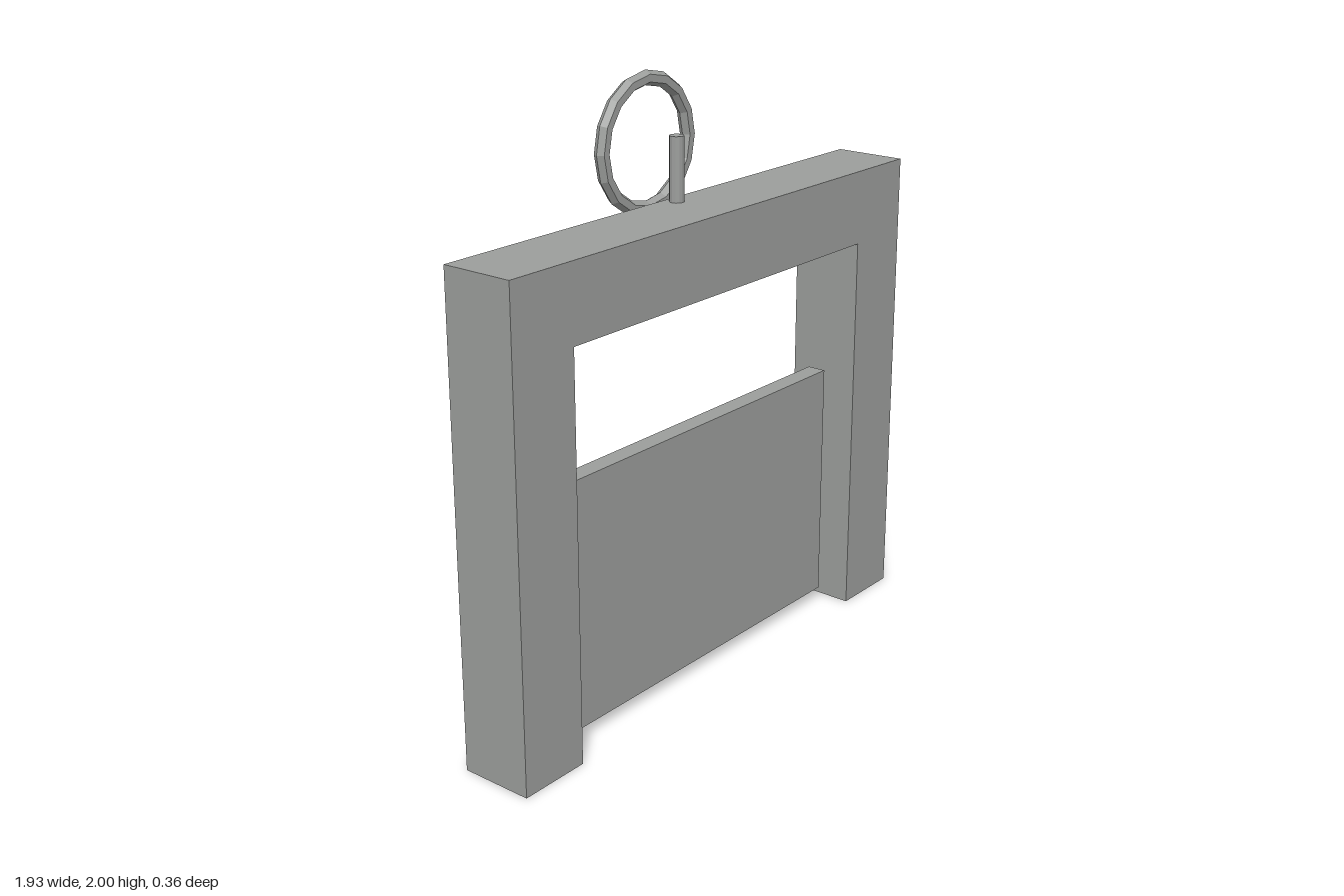
import * as THREE from 'three';

export function createModel() {
  const model = new THREE.Group();
  model.name = 'sluiceGate';
  const grey = new THREE.MeshStandardMaterial({ color: 0x9c9e9c, flatShading: true });
  grey.name = 'grey';

  const add = (name, geometry, x, y, z) => {
    const mesh = new THREE.Mesh(geometry, grey);
    mesh.name = name;
    mesh.position.set(x, y, z);
    model.add(mesh);
  };

  // Square arch frame: two posts and a lintel in one outline
  const outer = 0.966, inner = 0.716, top = 1.6, opening = 1.348;
  const outline = new THREE.Shape([
    [-outer, 0], [-inner, 0], [-inner, opening], [inner, opening],
    [inner, 0], [outer, 0], [outer, top], [-outer, top],
  ].map(([x, y]) => new THREE.Vector2(x, y)));
  add('frame', new THREE.ExtrudeGeometry(outline, { depth: 0.251, bevelEnabled: false }), 0, 0, -0.072);

  // Sliding gate panel hanging in the opening
  add('gatePanel', new THREE.BoxGeometry(1.342, 0.84, 0.065), 0, 0.465, 0.054);

  // Spindle rising from the lintel
  add('spindle', new THREE.CylinderGeometry(0.024, 0.024, 0.25, 12), 0, 1.685, -0.031);

  // Upright handwheel ring behind the frame
  add('handwheel', new THREE.TorusGeometry(0.2085, 0.0245, 6, 16), 0, 1.767, -0.157);

  return model;
}
